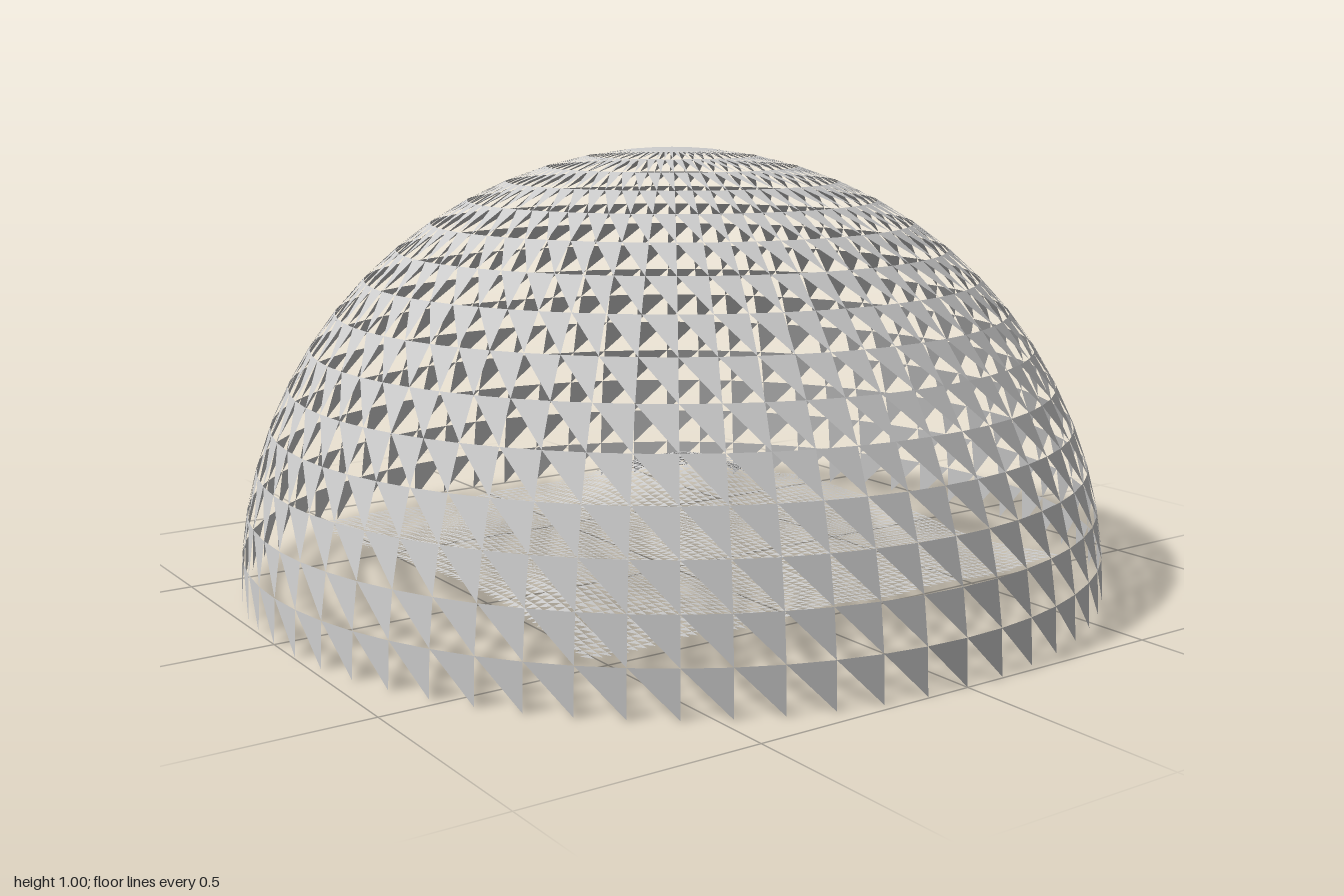
import * as THREE from 'three';

const material = new THREE.MeshStandardMaterial({
  color: 0xcccccc, flatShading: true, side: THREE.DoubleSide,
});

// Grid surface keeping one triangle of each cell: top left, top right, bottom right
function halfGrid(name, cols, rows, point) {
  const positions = [];
  const index = [];
  for (let r = 0; r <= rows; r++) {
    for (let c = 0; c <= cols; c++) positions.push(...point(c, r));
  }
  const id = (c, r) => r * (cols + 1) + c;
  for (let r = 0; r < rows; r++) {
    for (let c = 0; c < cols; c++) index.push(id(c + 1, r), id(c, r), id(c + 1, r + 1));
  }
  const geometry = new THREE.BufferGeometry();
  geometry.setAttribute('position', new THREE.Float32BufferAttribute(positions, 3));
  geometry.setIndex(index);
  geometry.computeVertexNormals();
  const mesh = new THREE.Mesh(geometry, material);
  mesh.name = name;
  return mesh;
}

// Rolling ground: soft hills (x, z, height, width) over a nearly flat base
const hills = [
  [0.22, -0.38, 0.09, 0.15],
  [0.42, -0.25, 0.04, 0.16],
  [-0.5, 0.3, 0.06, 0.17],
  [-0.42, -0.12, 0.05, 0.16],
  [0.1, 0.15, 0.04, 0.18],
];
function groundHeight(x, z) {
  let y = 0.07 + 0.008 * Math.sin(9 * x + 2) * Math.cos(8 * z) + 0.004 * Math.sin(19 * x + 14 * z);
  for (const [hx, hz, h, w] of hills) {
    y += h * Math.exp(-((x - hx) ** 2 + (z - hz) ** 2) / (2 * w * w));
  }
  return y;
}

export function createModel() {
  const model = new THREE.Group();
  const segments = 64;
  const bands = 16;
  const step = Math.PI / 2 / bands;

  // Hemisphere of separate triangles, below the closed cap
  model.add(halfGrid('domeShell', segments, bands - 1, (c, r) => {
    const turn = (c / segments) * Math.PI * 2;
    const tilt = (r + 1) * step;
    return [Math.sin(turn) * Math.sin(tilt), Math.cos(tilt), Math.cos(turn) * Math.sin(tilt)];
  }));

  // Closed cap at the top of the dome
  const cap = new THREE.Mesh(
    new THREE.SphereGeometry(1, segments, 1, 0, Math.PI * 2, 0, step), material);
  cap.name = 'domeCap';
  model.add(cap);

  // Square of uneven ground inside the dome
  const cells = 64;
  const half = 0.64;
  model.add(halfGrid('ground', cells, cells, (c, r) => {
    const x = (c / cells * 2 - 1) * half;
    const z = (r / cells * 2 - 1) * half;
    return [x, groundHeight(x, z), z];
  }));

  return model;
}
